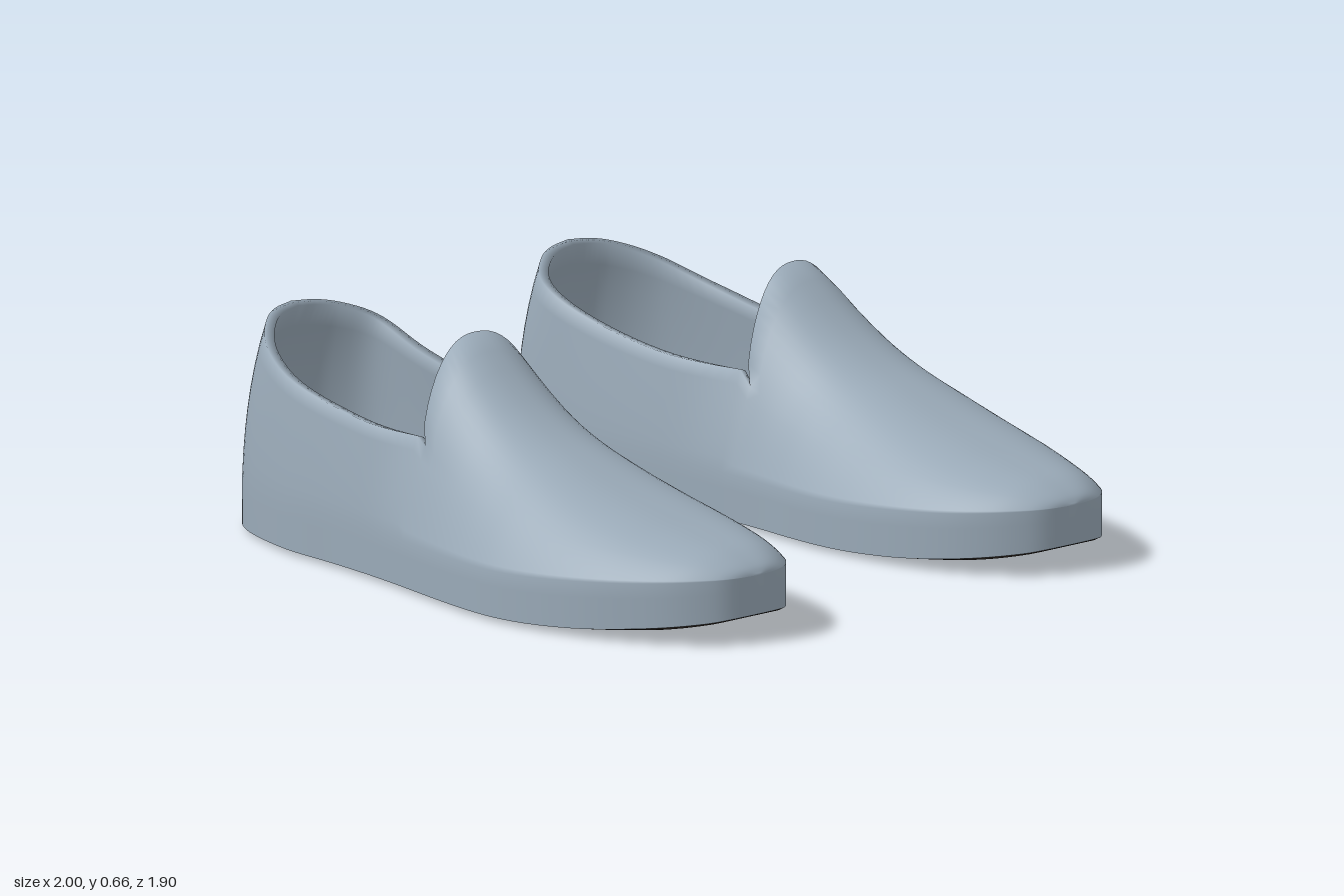
import * as THREE from 'three';
import { mergeVertices } from 'three/addons/utils/BufferGeometryUtils.js';

const fabric = new THREE.MeshStandardMaterial({ color: 0x9aaab8 });
fabric.name = 'blue grey fabric';
const rubber = new THREE.MeshStandardMaterial({ color: 0x352d27 });
rubber.name = 'dark rubber';

// Footprint from heel to toe: x, inner edge z, outer edge z
const outline = new THREE.CatmullRomCurve3([
  [-1, 0.51, 0.51], [-0.985, 0.425, 0.592], [-0.95, 0.352, 0.66], [-0.88, 0.282, 0.73],
  [-0.78, 0.252, 0.782], [-0.6, 0.25, 0.83], [-0.4, 0.257, 0.846], [-0.2, 0.265, 0.868],
  [-0.05, 0.266, 0.89], [0.1, 0.26, 0.922], [0.22, 0.25, 0.943], [0.35, 0.245, 0.952],
  [0.5, 0.252, 0.938], [0.65, 0.276, 0.902], [0.78, 0.318, 0.848], [0.88, 0.375, 0.79],
  [0.95, 0.44, 0.725], [0.985, 0.5, 0.665], [1, 0.58, 0.58],
].map((p) => new THREE.Vector3(...p)), false, 'catmullrom', 0.5);

const SUB = 4, ROWS = 18 * SUB, SEAM = 8 * SUB; // the opening ends at row SEAM
const WALL = 3, SIDE = 10, ARCH = 24, COLS = 2 * SIDE + ARCH; // columns of one section

// Side profiles: height by x
const topLine = [[-0.14, 0.668], [-0.1, 0.655], [0, 0.575], [0.1, 0.503], [0.2, 0.447], [0.3, 0.405],
  [0.5, 0.338], [0.7, 0.287], [0.8, 0.266], [0.9, 0.244], [0.95, 0.225], [0.985, 0.204], [1, 0.185]];
const wallLine = [[-1, 0.15], [0.3, 0.14], [0.7, 0.16], [1, 0.185]];
const rimLine = [[-1, 0.59], [-0.83, 0.53], [-0.6, 0.465], [-0.4, 0.428], [-0.2, 0.412], [-0.05, 0.412]];
const baseLine = [[-1, 0], [0.35, 0], [0.6, 0.01], [0.8, 0.03], [0.95, 0.052], [1, 0.065]];

const { clamp, smoothstep, lerp } = THREE.MathUtils;

// Smooth interpolation through a profile
function at(table, x) {
  const last = table.length - 1;
  x = clamp(x, table[0][0], table[last][0]);
  let i = 0;
  while (i < last - 1 && x > table[i + 1][0]) i++;
  const slope = (k) => {
    const a = table[Math.max(k - 1, 0)], b = table[Math.min(k + 1, last)];
    return (b[1] - a[1]) / (b[0] - a[0]);
  };
  const [x0, y0] = table[i], [x1, y1] = table[i + 1];
  const d = x1 - x0, t = (x - x0) / d, t2 = t * t, t3 = t2 * t;
  return (2 * t3 - 3 * t2 + 1) * y0 + (t3 - 2 * t2 + t) * d * slope(i)
    + (3 * t2 - 2 * t3) * y1 + (t3 - t2) * d * slope(i + 1);
}

function station(i) {
  const p = outline.getPoint(i / ROWS);
  return { s: p.x, c: (p.y + p.z) / 2, hw: (p.z - p.y) / 2 };
}

// One point of the upper: row i runs heel to toe, column j inner foot to outer foot
function upperPoint(i, j) {
  const { s, c, hw } = station(i);
  const m = Math.min(j, COLS - j), side = j < COLS / 2 ? -1 : 1;
  const foot = at(baseLine, s) + 0.012, wall = at(wallLine, s);
  const qRim = lerp(0.88, 0.75, smoothstep(s, -0.32, -0.05));
  const f = clamp((m - WALL) / (SIDE - WALL), 0, 1);
  let q = 1 - (1 - qRim) * Math.pow(f, 1.25);
  if (m > SIDE) q = qRim * (1 - (m - SIDE) / (ARCH / 2));
  let x = s - 0.03 * side * q * Math.exp(-(((s + 0.05) / 0.15) ** 2));
  let y;
  if (m <= WALL) {
    y = lerp(foot, wall, m / WALL);
  } else if (i < SEAM) {
    y = lerp(wall, at(rimLine, s), f);
  } else {
    // Tongue edge reaches back over the opening
    if (m > SIDE) x -= 0.065 * Math.sqrt(1 - (q / qRim) ** 2) * Math.exp(-(s + 0.05) / 0.08);
    const fullness = lerp(2.4, 3, smoothstep(s, 0.1, 0.9));
    y = wall + (at(topLine, x) - wall) * (1 - Math.pow(q, fullness));
  }
  // Heel leans forward toward the collar
  if (i < SEAM) x += 0.075 * Math.pow(y / at(rimLine, s), 3) * (1 - smoothstep(s, -1, -0.62));
  return [x, y, c + side * q * hw];
}

// Grid of points, optionally with missing cells
function grid(rows, cols, point, skip = () => false) {
  const pos = [], index = [];
  for (let i = 0; i <= rows; i++) for (let j = 0; j <= cols; j++) pos.push(...point(i, j));
  for (let i = 0; i < rows; i++) {
    for (let j = 0; j < cols; j++) {
      if (skip(i, j)) continue;
      const a = i * (cols + 1) + j, d = a + cols + 1;
      index.push(a, a + 1, d + 1, a, d + 1, d);
    }
  }
  const g = new THREE.BufferGeometry();
  g.setAttribute('position', new THREE.Float32BufferAttribute(pos, 3));
  g.setIndex(index);
  const merged = mergeVertices(g, 1e-4);
  merged.computeVertexNormals();
  return merged;
}

// Gives a surface an inner lining and a rounded rim
function thicken(g, thickness) {
  const p = g.attributes.position, n = g.attributes.normal, count = p.count;
  const pos = Array.from(p.array), index = Array.from(g.index.array);
  for (let k = 0; k < count * 3; k++) pos.push(p.array[k] - n.array[k] * thickness);
  const outer = index.slice(), edges = new Set();
  for (let k = 0; k < outer.length; k += 3) {
    const t = outer.slice(k, k + 3);
    index.push(t[0] + count, t[2] + count, t[1] + count);
    for (let e = 0; e < 3; e++) edges.add(t[e] + '_' + t[(e + 1) % 3]);
  }
  for (const key of edges) {
    const [a, b] = key.split('_').map(Number);
    if (a === b || edges.has(b + '_' + a) || p.getY(a) < 0.3) continue;
    index.push(b, a, a + count, b, a + count, b + count);
  }
  const out = new THREE.BufferGeometry();
  out.setAttribute('position', new THREE.Float32BufferAttribute(pos, 3));
  out.setIndex(index);
  out.computeVertexNormals();
  return out;
}

function mirrored(g) {
  const m = g.clone().scale(1, 1, -1);
  const ix = m.index.array;
  for (let k = 0; k < ix.length; k += 3) [ix[k + 1], ix[k + 2]] = [ix[k + 2], ix[k + 1]];
  m.computeVertexNormals();
  return m;
}

export function createModel() {
  const opening = (i, j) => i < SEAM && j >= SIDE && j < COLS - SIDE;
  const upper = thicken(grid(ROWS, COLS, upperPoint, opening), 0.028);

  // Flat footbed inside the shoe
  const insole = grid(12 * SUB, 2, (i, j) => {
    const { s, c, hw } = station(i);
    return [s * 0.98, 0.17, c + (j - 1) * hw * 0.94];
  });

  // Slightly rounded outsole, columns running outer to inner so it faces down
  const sole = grid(ROWS, 12, (i, j) => {
    const { s, c, hw } = station(i);
    const t = 1 - j / 6;
    return [s, at(baseLine, s) + 0.012 * Math.max(Math.abs(t), Math.abs(s)) ** 10, c + t * hw];
  });

  const model = new THREE.Group();
  model.name = 'pairOfShoes';
  for (const [name, fit] of [['leftShoe', (g) => g], ['rightShoe', mirrored]]) {
    const shoe = new THREE.Group();
    shoe.name = name;
    for (const [part, geometry, material] of [
      ['upper', upper, fabric], ['insole', insole, fabric], ['sole', sole, rubber],
    ]) {
      const mesh = new THREE.Mesh(fit(geometry), material);
      mesh.name = part;
      shoe.add(mesh);
    }
    model.add(shoe);
  }
  return model;
}
